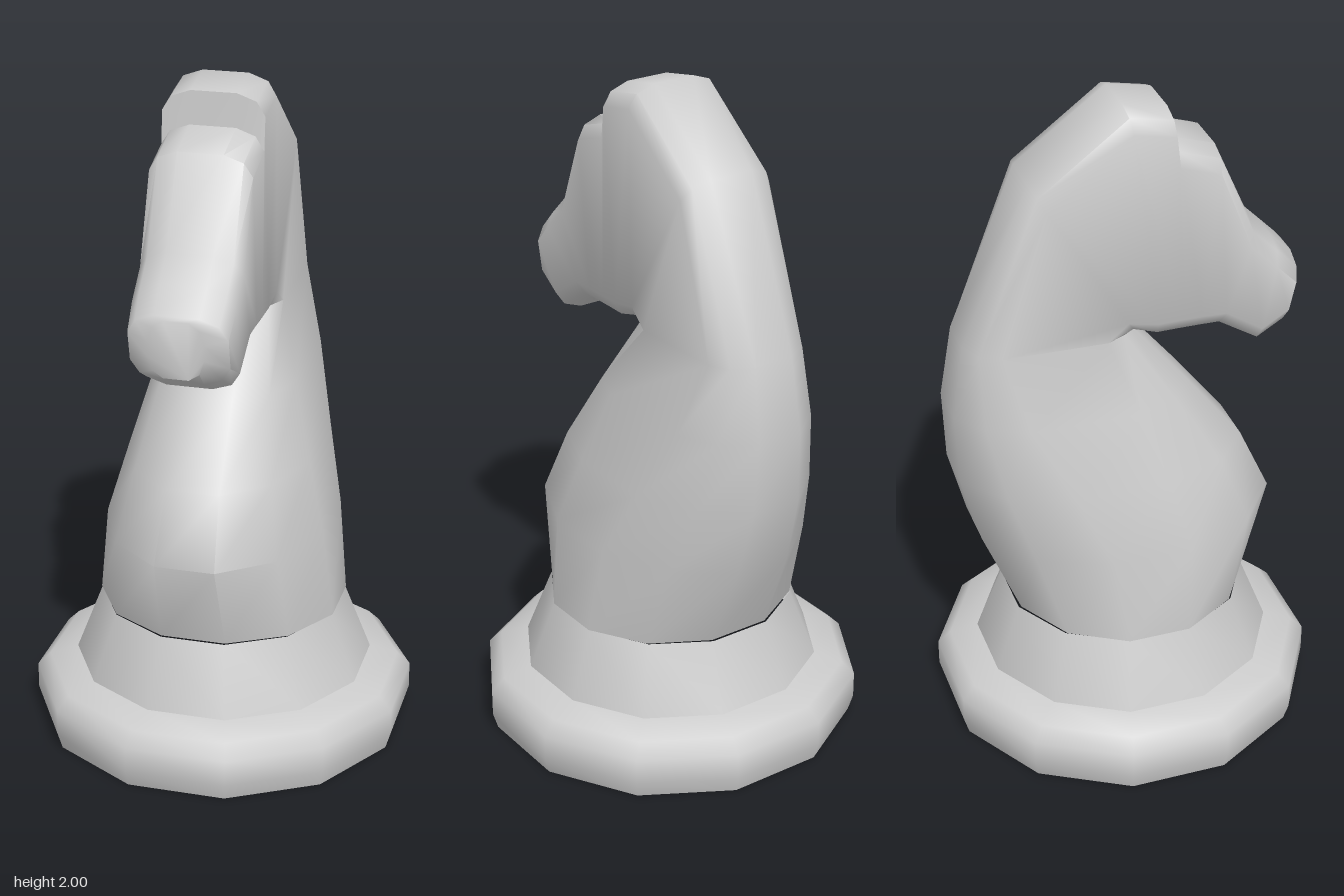
import * as THREE from 'three';
import { toCreasedNormals } from 'three/addons/utils/BufferGeometryUtils.js';

const SIDES = 12;
const material = new THREE.MeshStandardMaterial({ color: 0xcccccc });

function addMesh(group, name, geometry, crease) {
  const mesh = new THREE.Mesh(toCreasedNormals(geometry, crease), material);
  mesh.name = name;
  group.add(mesh);
}

// Twelve-sided turned part; profile radii are measured to the flats' edges
function turned(profile) {
  const points = profile.map(([r, y]) => new THREE.Vector2(r, y));
  return new THREE.LatheGeometry(points, SIDES, Math.PI / SIDES);
}

// One cross-section between a front point and a back point (z, y) with half width w.
// k blends from a round section (0) to a flat-sided one with bevelled corners (1).
function section([fz, fy, bz, by, w, k]) {
  const depth = Math.hypot(bz - fz, by - fy);
  const mix = THREE.MathUtils.lerp;
  const xs = [mix(0.268, 0.45, k), mix(0.732, 0.83, k), 1].map(v => v * w);
  const ts = [0, mix(0.134, 0.02 / depth, k), mix(0.366, 0.06 / depth, k)];
  const half = [];
  for (let i = 0; i < 3; i++) half.push([xs[i], ts[i]]);
  for (let i = 2; i >= 0; i--) half.push([xs[i], 1 - ts[i]]);
  const ring = [...half, ...half.slice().reverse().map(([x, t]) => [-x, t])];
  return ring.map(([x, t]) => [x, mix(fy, by, t), mix(fz, bz, t)]);
}

// Skin over the cross-sections, closed at the last one
function loft(rows) {
  const rings = rows.map(section);
  const positions = rings.flat(2);
  const index = [];
  for (let i = 0; i < rings.length - 1; i++) {
    for (let j = 0; j < SIDES; j++) {
      const a = i * SIDES + j, b = i * SIDES + (j + 1) % SIDES;
      index.push(a, b, b + SIDES, a, b + SIDES, a + SIDES);
    }
  }
  const last = (rings.length - 1) * SIDES;
  for (let j = 1; j < SIDES - 1; j++) index.push(last, last + j, last + j + 1);
  const geometry = new THREE.BufferGeometry();
  geometry.setAttribute('position', new THREE.Float32BufferAttribute(positions, 3));
  geometry.setIndex(index);
  return geometry;
}

export function createModel() {
  const group = new THREE.Group();
  group.name = 'chessKnight';

  // Foot and tapered collar
  addMesh(group, 'base', turned([
    [0, 0], [0.56, 0], [0.575, 0.05], [0.575, 0.13], [0.535, 0.17], [0.45, 0.195],
  ]), 1.0);
  addMesh(group, 'collar', turned([[0.45, 0.195], [0.37, 0.4]]), 1.0);

  // Neck rises, then the sections swing forward around the throat into the head
  addMesh(group, 'horseNeckAndHead', loft([
    // front z, y, back z, y, half width, flatness
    [0.35, 0.4, -0.35, 0.4, 0.36, 0],
    [0.44, 0.67, -0.46, 0.67, 0.33, 0],
    [0.35, 0.87, -0.515, 0.88, 0.275, 0.1],
    [0.18, 1.09, -0.525, 1.1, 0.215, 0.35],
    [0, 1.31, -0.49, 1.32, 0.155, 0.75],
    // crest, poll and ears
    [0.005, 1.308, -0.29, 1.8, 0.15, 1],
    [0.07, 1.28, -0.02, 2.0, 0.148, 1],
    [0.13, 1.28, 0.11, 1.975, 0.147, 1],
    [0.15, 1.28, 0.12, 1.88, 0.147, 1],
    // forehead, nose and muzzle
    [0.19, 1.28, 0.25, 1.84, 0.147, 1],
    [0.25, 1.28, 0.36, 1.59, 0.147, 1],
    [0.37, 1.205, 0.43, 1.52, 0.147, 1],
    [0.45, 1.25, 0.495, 1.455, 0.142, 1],
    [0.505, 1.28, 0.505, 1.445, 0.08, 1],
  ]), 0.9);

  return group;
}
